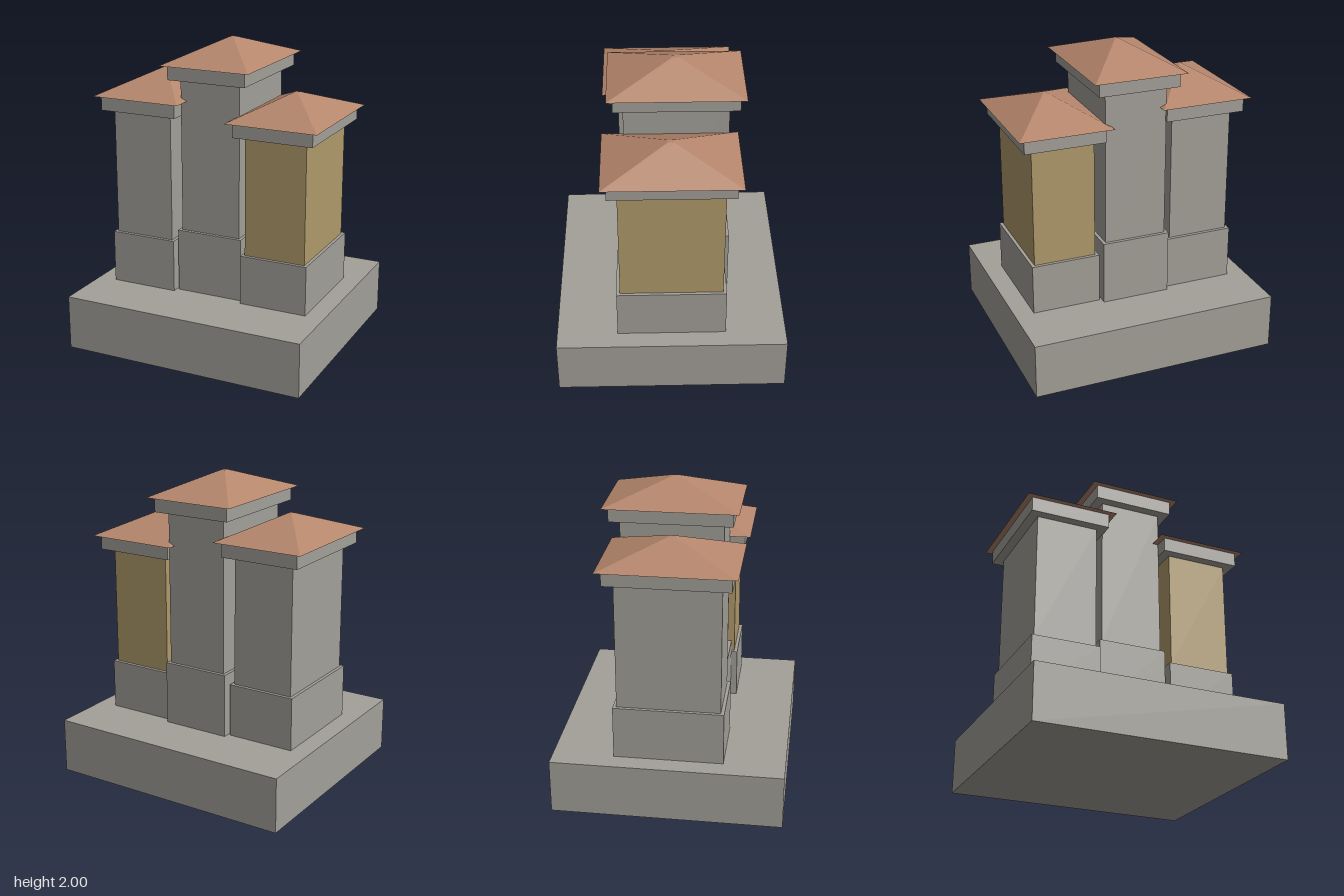
import * as THREE from 'three';

const stone = new THREE.MeshStandardMaterial({ color: 0xa3a099 });
stone.name = 'grey stone';
const plaster = new THREE.MeshStandardMaterial({ color: 0xb09a6b });
plaster.name = 'ochre plaster';
const tile = new THREE.MeshStandardMaterial({ color: 0xb5866c });
tile.name = 'terracotta';

// Box standing between two heights, with half width and half depth
function block(name, hw, hd, y0, y1, material) {
  const mesh = new THREE.Mesh(new THREE.BoxGeometry(hw * 2, y1 - y0, hd * 2), material);
  mesh.position.y = (y0 + y1) / 2;
  mesh.name = name;
  return mesh;
}

// Hipped roof: four-sided cone with a tiny flat top, flat faces
function hippedRoof(hw, hd, y0, y1) {
  const r = Math.SQRT2;
  let geometry = new THREE.CylinderGeometry(r * 0.05, r, y1 - y0, 4);
  geometry.rotateY(Math.PI / 4);
  geometry.scale(hw, 1, hd);
  geometry = geometry.toNonIndexed();
  geometry.computeVertexNormals();
  const mesh = new THREE.Mesh(geometry, tile);
  mesh.position.y = (y0 + y1) / 2;
  mesh.name = 'roof';
  return mesh;
}

// Chimney stack: plinth, shaft, cap and roof
function stack({ name, x, z, plinthTop, shaftTop, capTop, roofTop, wall }) {
  const group = new THREE.Group();
  group.name = name;
  group.add(
    block('plinth', 0.224, 0.348, 0.357, plinthTop, stone),
    block('shaft', 0.203, 0.326, plinthTop, shaftTop, wall),
    block('cap', 0.264, 0.387, shaftTop, capTop, stone),
    hippedRoof(0.303, 0.424, capTop, roofTop)
  );
  group.position.set(x, 0, z);
  return group;
}

export function createModel() {
  const model = new THREE.Group();
  model.name = 'chimneyStacks';
  model.add(block('base', 0.811, 0.736, 0, 0.357, stone));

  const stacks = [
    { name: 'rightStack', x: -0.464, z: 0, plinthTop: 0.703, shaftTop: 1.535, capTop: 1.629, roofTop: 1.77, wall: stone },
    { name: 'middleStack', x: -0.001, z: -0.039, plinthTop: 0.772, shaftTop: 1.768, capTop: 1.86, roofTop: 2, wall: stone },
    { name: 'leftStack', x: 0.463, z: 0, plinthTop: 0.682, shaftTop: 1.46, capTop: 1.551, roofTop: 1.693, wall: plaster },
  ];
  for (const s of stacks) model.add(stack(s));
  return model;
}
